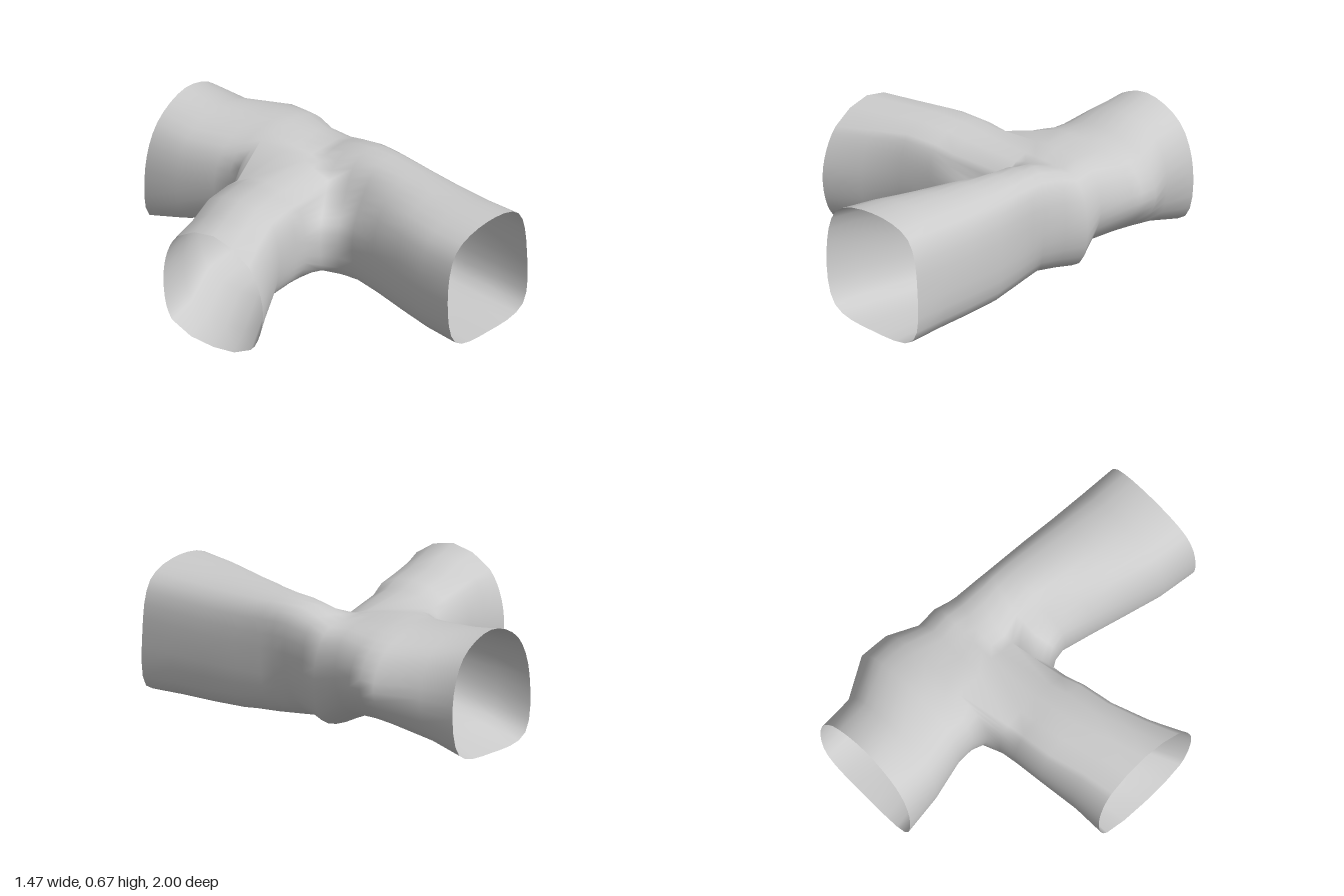
import * as THREE from 'three';

const SIDES = 32;                    // points around the main tunnel
const HOLE = { i0: 6, i1: 10, j0: 10, j1: 22 }; // side opening: rings and points it spans

// Main tunnel sections: z, x min, x max, y min, y max, corner cuts (top right, top left, bottom left, bottom right)
const MAIN = [
  [1, -0.07, 0.568, 0.005, 0.665, 0.21, 0.21, 0.19, 0.1],
  [0.8, -0.05, 0.578, 0.005, 0.66, 0.22, 0.24, 0.2, 0.13],
  [0.6, 0, 0.585, 0.005, 0.655, 0.21, 0.27, 0.2, 0.15],
  [0.4, 0.05, 0.59, 0.01, 0.655, 0.19, 0.32, 0.2, 0.17],
  [0.24, 0.095, 0.582, 0.015, 0.65, 0.14, 0.4, 0.18, 0.22],
  [0.16, 0.08, 0.58, 0.02, 0.65, 0.12, 0.42, 0.17, 0.25],
  [0.085, 0.03, 0.585, 0.025, 0.65, 0.12, 0.42, 0.18, 0.27],
  [-0.05, 0.03, 0.61, 0.03, 0.64, 0.17, 0.3, 0.2, 0.23],
  [-0.16, 0.02, 0.66, 0.04, 0.63, 0.25, 0.25, 0.22, 0.2],
  [-0.28, 0, 0.64, 0.09, 0.625, 0.22, 0.22, 0.22, 0.3],
  [-0.43, -0.03, 0.72, 0.1, 0.63, 0.26, 0.2, 0.22, 0.34],
  [-0.5, 0, 0.725, 0.1, 0.63, 0.27, 0.22, 0.2, 0.34],
  [-0.59, 0, 0.73, 0.1, 0.63, 0.28, 0.23, 0.19, 0.32],
  [-0.8, -0.04, 0.61, 0.05, 0.63, 0.26, 0.26, 0.15, 0.22],
  [-1, -0.05, 0.6, 0.005, 0.665, 0.28, 0.3, 0.11, 0.17],
];

// Side tunnel sections: x, z min, z max, y min, y max, corner cuts (top front, top back, bottom back, bottom front)
const BRANCH = [
  [-0.1, -0.41, 0.09, 0.08, 0.615, 0.24, 0.24, 0.24, 0.16],
  [-0.2, -0.4, 0.11, 0.1, 0.635, 0.21, 0.24, 0.24, 0.17],
  [-0.37, -0.38, 0.14, 0.11, 0.648, 0.21, 0.24, 0.22, 0.2],
  [-0.56, -0.335, 0.23, 0.025, 0.66, 0.26, 0.26, 0.2, 0.23],
  [-0.735, -0.32, 0.33, 0, 0.665, 0.29, 0.28, 0.17, 0.24],
];

// Closed curve through side middles and cut-in corners, in a 2D plane
function outline([, a0, a1, y0, y1, ...cuts]) {
  const ca = (a0 + a1) / 2, cy = (y0 + y1) / 2, points = [];
  for (let k = 0; k < 8; k++) {
    const s = k % 2 ? 1 - cuts[(k - 1) / 2] : 1;
    const dx = Math.round(Math.cos(k * Math.PI / 4)), dy = Math.round(Math.sin(k * Math.PI / 4));
    points.push(new THREE.Vector3(ca + dx * s * (a1 - a0) / 2, cy + dy * s * (y1 - y0) / 2, 0));
  }
  return new THREE.CatmullRomCurve3(points, true, 'catmullrom', 0.5);
}

// Rings near the crotch bow backwards in their middle, so the seam runs diagonally over the roof
function bow([z, x0, x1], x) {
  const strength = 0.12 * Math.exp(-(((z - 0.06) / 0.15) ** 2));
  return z - strength * Math.sin(Math.PI * THREE.MathUtils.clamp((x - x0) / (x1 - x0), 0, 1));
}

// Diagonal valley in the roof, growing shallower away from the crotch
const valley = new THREE.Line3(new THREE.Vector3(0.15, 0, 0.04), new THREE.Vector3(0.38, 0, -0.16));
function sinkRoof(p) {
  const flat = new THREE.Vector3(p.x, 0, p.z);
  const t = valley.closestPointToPointParameter(flat, true);
  const d = valley.at(t, new THREE.Vector3()).distanceTo(flat);
  p.y -= (0.09 - 0.05 * t) * Math.exp(-((d / 0.12) ** 2)) * THREE.MathUtils.smoothstep(p.y, 0.3, 0.55);
  return p;
}

function tunnelGeometry() {
  const positions = [], index = [];
  const add = (x, y, z) => {
    positions.push(...sinkRoof(new THREE.Vector3(x, y, z)).toArray());
    return positions.length / 3 - 1;
  };
  const quad = (a, b, c, d) => index.push(a, b, c, a, c, d);

  // Main tunnel, leaving out the side opening
  const rings = MAIN.map((s) => {
    const curve = outline(s);
    return Array.from({ length: SIDES }, (_, j) => {
      const p = curve.getPoint(j / SIDES);
      return add(p.x, p.y, bow(s, p.x));
    });
  });
  const { i0, i1, j0, j1 } = HOLE;
  for (let i = 0; i < rings.length - 1; i++) {
    for (let j = 0; j < SIDES; j++) {
      if (i >= i0 && i < i1 && j >= j0 && j < j1) continue;
      const n = (j + 1) % SIDES;
      quad(rings[i][j], rings[i + 1][j], rings[i + 1][n], rings[i][n]);
    }
  }

  // Rim of the opening: roof, back, floor, front; each point has its place on the branch outline
  const rim = [], place = [];
  const wide = i1 - i0, tall = j1 - j0;
  const walk = (count, side, pick) => {
    for (let k = 0; k < count; k++) {
      rim.push(pick(k));
      place.push(((1 + 2 * (side + k / count)) / 8) % 1);
    }
  };
  walk(wide, 0, (k) => rings[i0 + k][j0]);
  walk(tall, 1, (k) => rings[i1][j0 + k]);
  walk(wide, 2, (k) => rings[i1 - k][j1]);
  walk(tall, 3, (k) => rings[i0][j1 - k]);

  // Side tunnel, lofted from the rim
  let last = rim;
  for (const s of BRANCH) {
    const curve = outline(s);
    const next = place.map((t) => {
      const p = curve.getPoint(t);
      return add(s[0], p.y, p.x);
    });
    last.forEach((a, k) => {
      const n = (k + 1) % last.length;
      quad(a, last[n], next[n], next[k]);
    });
    last = next;
  }

  const geometry = new THREE.BufferGeometry();
  geometry.setAttribute('position', new THREE.Float32BufferAttribute(positions, 3));
  geometry.setIndex(index);
  geometry.computeVertexNormals();
  return geometry;
}

export function createModel() {
  const group = new THREE.Group();
  group.name = 'tunnelJunction';
  const material = new THREE.MeshStandardMaterial({ color: 0xcccccc, side: THREE.DoubleSide });
  const shell = new THREE.Mesh(tunnelGeometry(), material);
  shell.name = 'tunnelShell';
  group.add(shell);
  return group;
}
